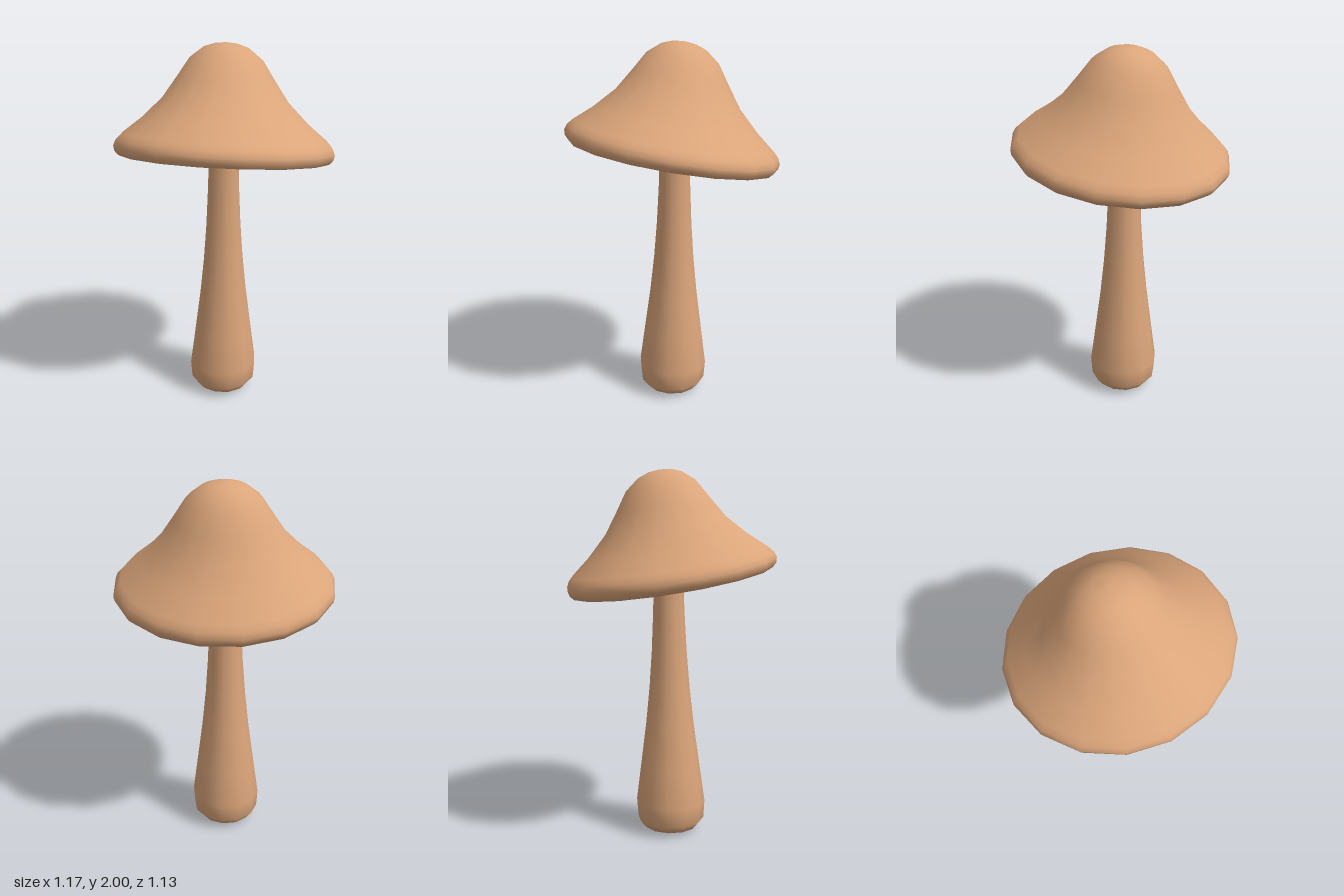
import * as THREE from 'three';

const tan = new THREE.MeshStandardMaterial({ color: 0xdba57a });
tan.name = 'mushroom tan';

// Lathe from [radius, height] pairs, bottom/inside first so faces point outward
function turn(name, profile, sides, start) {
  const points = profile.map(([r, y]) => new THREE.Vector2(r, y));
  const mesh = new THREE.Mesh(new THREE.LatheGeometry(points, sides, start), tan);
  mesh.name = name;
  return mesh;
}

// Slide vertices along z in proportion to their height
function lean(geometry, amount) {
  const p = geometry.attributes.position;
  for (let i = 0; i < p.count; i++) {
    p.setZ(i, p.getZ(i) + amount * Math.max(0, p.getY(i)));
  }
}

export function createModel() {
  const model = new THREE.Group();
  model.name = 'mushroom';

  // Stem: bulbous foot, tapering up and flaring into the cap's underside
  const stem = turn('stem', [
    [0, 0.003], [0.15, 0.025], [0.186, 0.07], [0.193, 0.17],
    [0.166, 0.37], [0.133, 0.62], [0.112, 0.82], [0.097, 1.02],
    [0.086, 1.25], [0.081, 1.47], [0.09, 1.53], [0.125, 1.585],
  ], 12, 0.13);
  lean(stem.geometry, -0.01);
  stem.position.set(-0.009, 0, 0.002);
  model.add(stem);

  // Cap: shallow dished underside, rolled rim, flared skirt and rounded crown
  const cap = turn('cap', [
    [0.08, 0.125], [0.2, 0.12], [0.32, 0.095], [0.43, 0.04],
    [0.51, -0.025], [0.535, -0.044], [0.56, -0.044], [0.58, -0.022],
    [0.586, 0.005], [0.574, 0.035], [0.546, 0.065], [0.445, 0.146],
    [0.335, 0.254], [0.258, 0.365], [0.193, 0.463],
    [0.12, 0.52], [0.06, 0.541], [0, 0.547],
  ], 17, Math.PI + 0.03);
  cap.geometry.scale(1.005, 1, 0.985);
  lean(cap.geometry, 0.05);
  cap.position.set(0, 1.454, 0.003);
  cap.rotation.set(-0.177, 0, 0.032);
  model.add(cap);

  return model;
}
